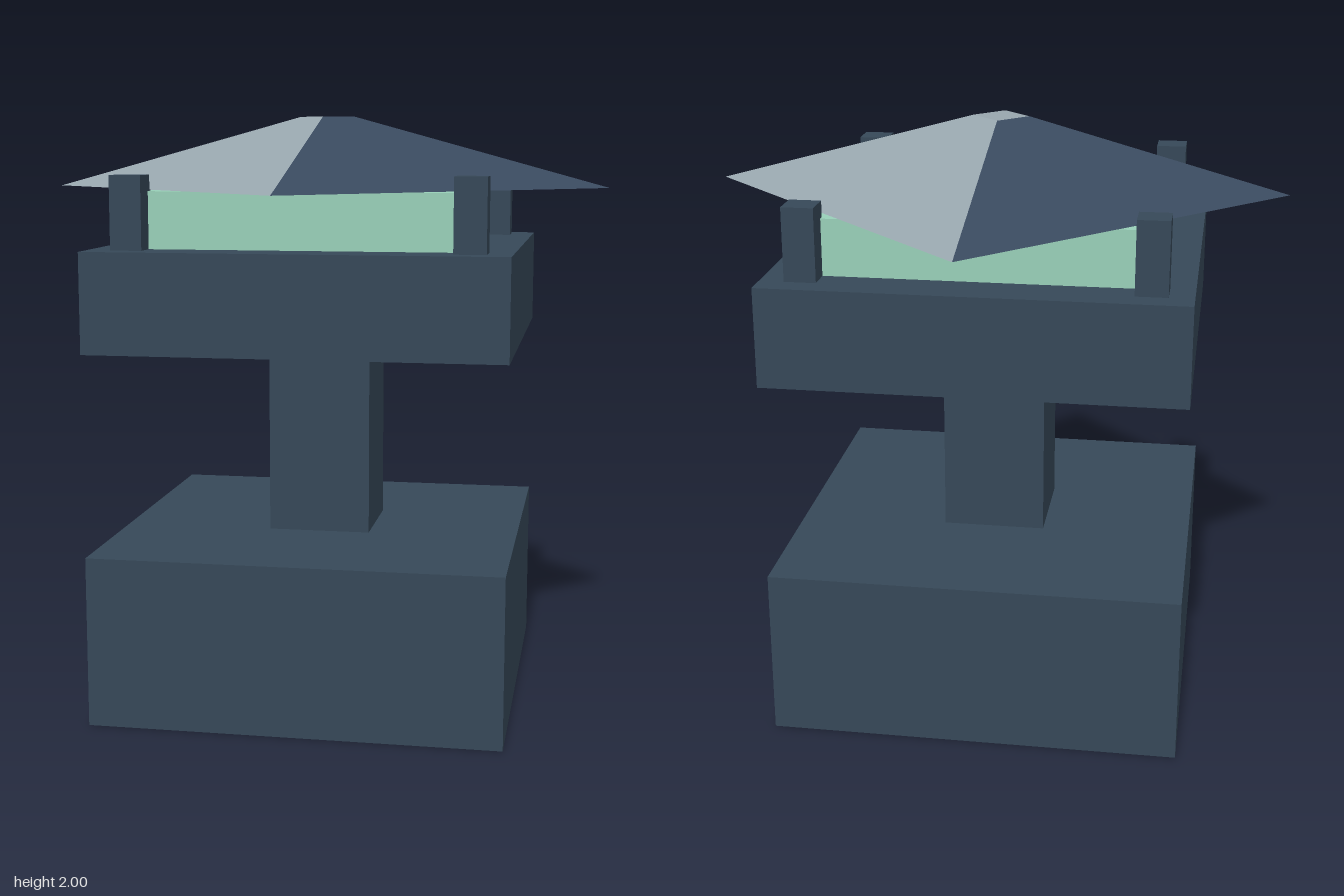
import * as THREE from 'three';

const material = (name, color) => {
  const m = new THREE.MeshStandardMaterial({ color });
  m.name = name;
  return m;
};

export function createModel() {
  const group = new THREE.Group();
  const slate = material('slate stone', 0x364858);
  const green = material('pale green glass', 0x98d0b8);
  const darkRoof = material('dark roof blue', 0x3a4a5f);
  const lightRoof = material('light roof grey', 0x98a6ae);

  const add = (name, geometry, mat, x = 0, y = 0, z = 0) => {
    const mesh = new THREE.Mesh(geometry, mat);
    mesh.name = name;
    mesh.position.set(x, y, z);
    group.add(mesh);
    return mesh;
  };
  // Square block standing between two heights
  const block = (name, width, y0, y1, mat, x = 0, z = 0) =>
    add(name, new THREE.BoxGeometry(width, y1 - y0, width), mat, x, (y0 + y1) / 2, z);

  // Pedestal, column and platform
  block('base', 1.37, 0, 0.57, slate);
  block('column', 0.35, 0.57, 1.24, slate);
  block('platform', 1.37, 1.24, 1.57, slate);

  // Glowing chamber with a post at each corner
  block('lanternChamber', 1.04, 1.57, 1.757, green);
  for (const x of [-1, 1])
    for (const z of [-1, 1])
      block('cornerPost', 0.104, 1.57, 1.81, slate, x * 0.552, z * 0.552);

  // Truncated pyramid roof, turned 45 degrees, its slopes alternating in colour
  const eave = 0.97, crown = 0.095, y0 = 1.76, y1 = 2;
  for (let i = 0; i < 4; i++) {
    const slope = new THREE.CylinderGeometry(
      crown, eave, y1 - y0, 1, 1, true, i * Math.PI / 2, Math.PI / 2).toNonIndexed();
    slope.computeVertexNormals();
    add('roofSlope', slope, i % 2 ? lightRoof : darkRoof, 0, (y0 + y1) / 2, 0);
  }
  add('roofCap', new THREE.CircleGeometry(crown, 4).rotateX(-Math.PI / 2), lightRoof, 0, y1, 0);
  add('roofUnderside', new THREE.CircleGeometry(eave, 4).rotateX(Math.PI / 2), darkRoof, 0, y0, 0);

  return group;
}
